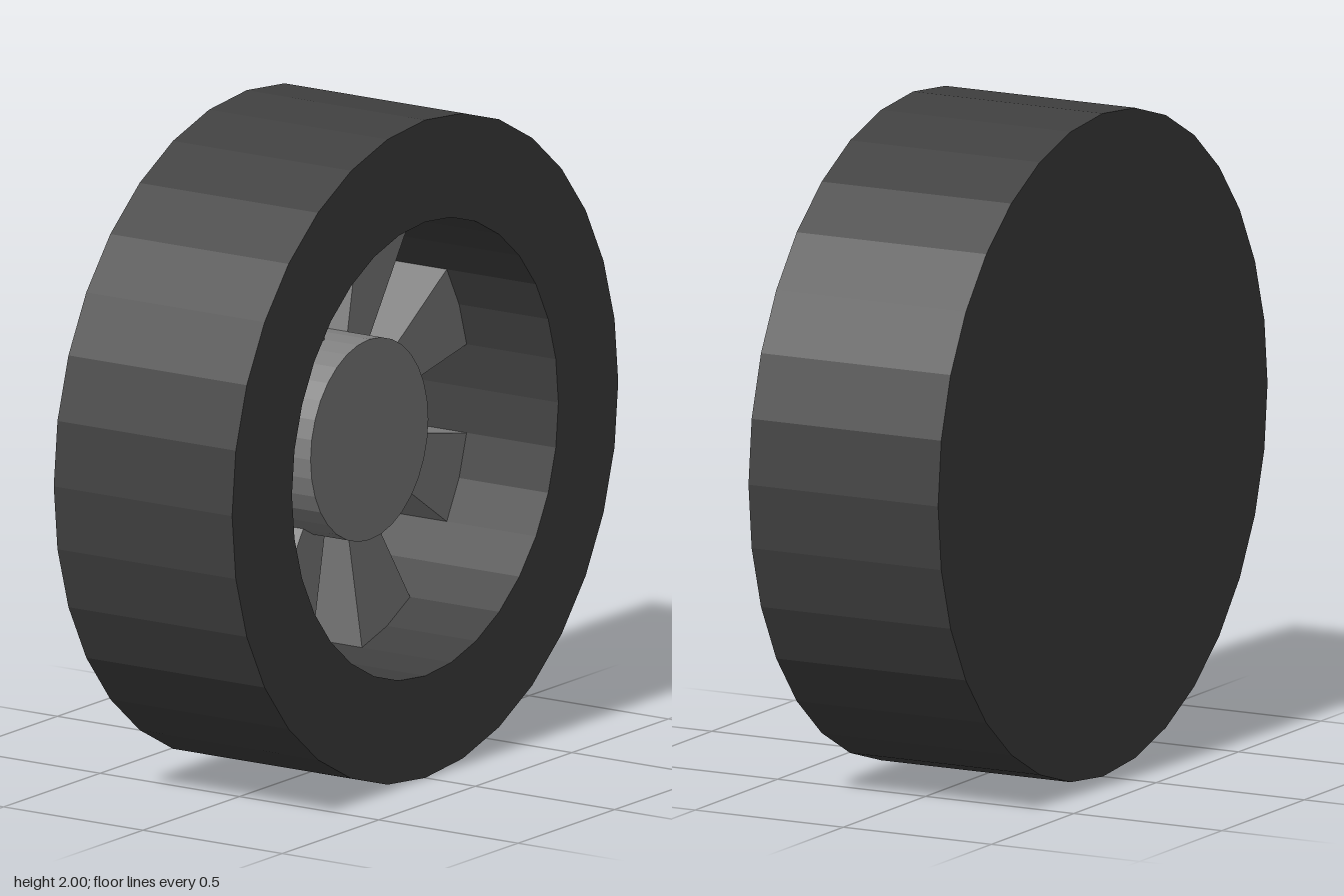
import * as THREE from 'three';

export function createModel() {
  const SIDES = 32;
  const FLOOR = -0.3; // inner side of the closed back
  const SPOKE_FACE = 0, HUB_FACE = 0.12;
  const RIM_R = 0.69, HUB_R = 0.305;

  const rubber = new THREE.MeshStandardMaterial({ color: 0x404040, flatShading: true });
  const metal = new THREE.MeshStandardMaterial({ color: 0x808080, flatShading: true });

  const wheel = new THREE.Group();
  wheel.name = 'wheel';
  wheel.position.y = 1;

  const add = (name, geometry, material) => {
    const mesh = new THREE.Mesh(geometry, material);
    mesh.name = name;
    wheel.add(mesh);
    return mesh;
  };

  // Tyre: closed back, straight tread and a deep recess on the +x side
  const profile = [
    [0, -0.32], [1, -0.32], [1, 0.32], [RIM_R, 0.32], [RIM_R, FLOOR], [0, FLOOR],
  ].map(([r, h]) => new THREE.Vector2(r, h));
  add('tyre', new THREE.LatheGeometry(profile, SIDES).rotateZ(-Math.PI / 2), rubber);

  // Hub: plain drum standing proud of the spokes
  const hub = new THREE.CylinderGeometry(HUB_R, HUB_R, HUB_FACE - FLOOR, SIDES)
    .rotateZ(-Math.PI / 2)
    .translate((HUB_FACE + FLOOR) / 2, 0, 0);
  add('hub', hub, metal);

  // Spokes: eight wedges, each spanning two sides of the rim
  const step = (Math.PI * 2) / SIDES;
  const polar = (r, a) => new THREE.Vector2(r * Math.cos(a), r * Math.sin(a));
  const wedge = new THREE.Shape([
    polar(HUB_R - 0.02, -step), polar(RIM_R, -step), polar(RIM_R, 0),
    polar(RIM_R, step), polar(HUB_R - 0.02, step),
  ]);
  const spoke = new THREE.ExtrudeGeometry(wedge, { depth: SPOKE_FACE - FLOOR, bevelEnabled: false })
    .translate(0, 0, FLOOR)
    .rotateY(Math.PI / 2);
  for (let i = 0; i < 8; i++) {
    add('spoke', spoke, metal).rotation.x = (i + 0.5) * (Math.PI / 4);
  }

  const model = new THREE.Group();
  model.name = 'model';
  model.add(wheel);
  return model;
}
